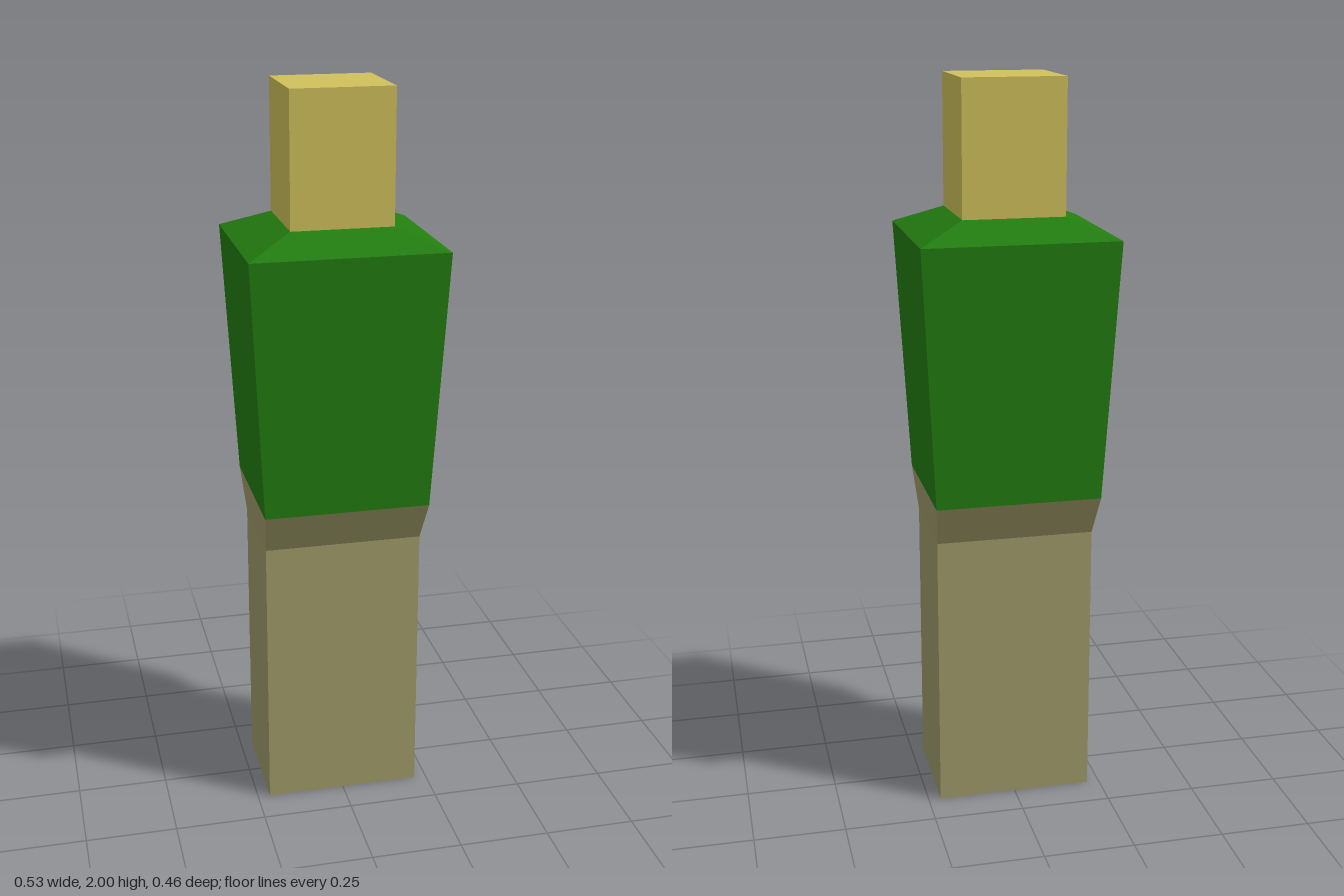
import * as THREE from 'three';

const material = (name, color) => {
  const m = new THREE.MeshStandardMaterial({ color });
  m.name = name;
  return m;
};

// Flat-faced rectangular loft through sections [y, halfWidth, halfDepth], with optional end caps
function loft(sections, capBottom, capTop) {
  const pos = [];
  const ring = ([y, w, d]) => [[-w, y, d], [w, y, d], [w, y, -d], [-w, y, -d]];
  const quad = (a, b, c, d) => pos.push(...a, ...b, ...c, ...a, ...c, ...d);
  const rings = sections.map(ring);
  for (let s = 0; s < rings.length - 1; s++) {
    const lo = rings[s], hi = rings[s + 1];
    for (let i = 0; i < 4; i++) {
      const j = (i + 1) % 4;
      quad(lo[i], lo[j], hi[j], hi[i]);
    }
  }
  if (capBottom) quad(...[...rings[0]].reverse());
  if (capTop) quad(...rings[rings.length - 1]);
  const geo = new THREE.BufferGeometry();
  geo.setAttribute('position', new THREE.Float32BufferAttribute(pos, 3));
  geo.computeVertexNormals();
  return geo;
}

export function createModel() {
  const khaki = material('khaki', 0x9f9b69);
  const green = material('green', 0x237e10);
  const gold = material('gold', 0xd0c05c);

  const model = new THREE.Group();
  model.name = 'figure';
  const add = (name, geo, mat) => {
    const mesh = new THREE.Mesh(geo, mat);
    mesh.name = name;
    model.add(mesh);
  };

  // Straight leg block flaring out to the waist
  add('legs', loft([[0, 0.216, 0.147], [0.775, 0.216, 0.147], [0.89, 0.226, 0.2]], true, false), khaki);

  // Torso widening upward, then sloping shoulders
  add('torso', loft([[0.89, 0.226, 0.2], [1.593, 0.263, 0.231], [1.645, 0.137, 0.131]], false, false), green);

  // Head block
  add('head', loft([[1.645, 0.137, 0.131], [2, 0.137, 0.131]], false, true), gold);

  return model;
}
